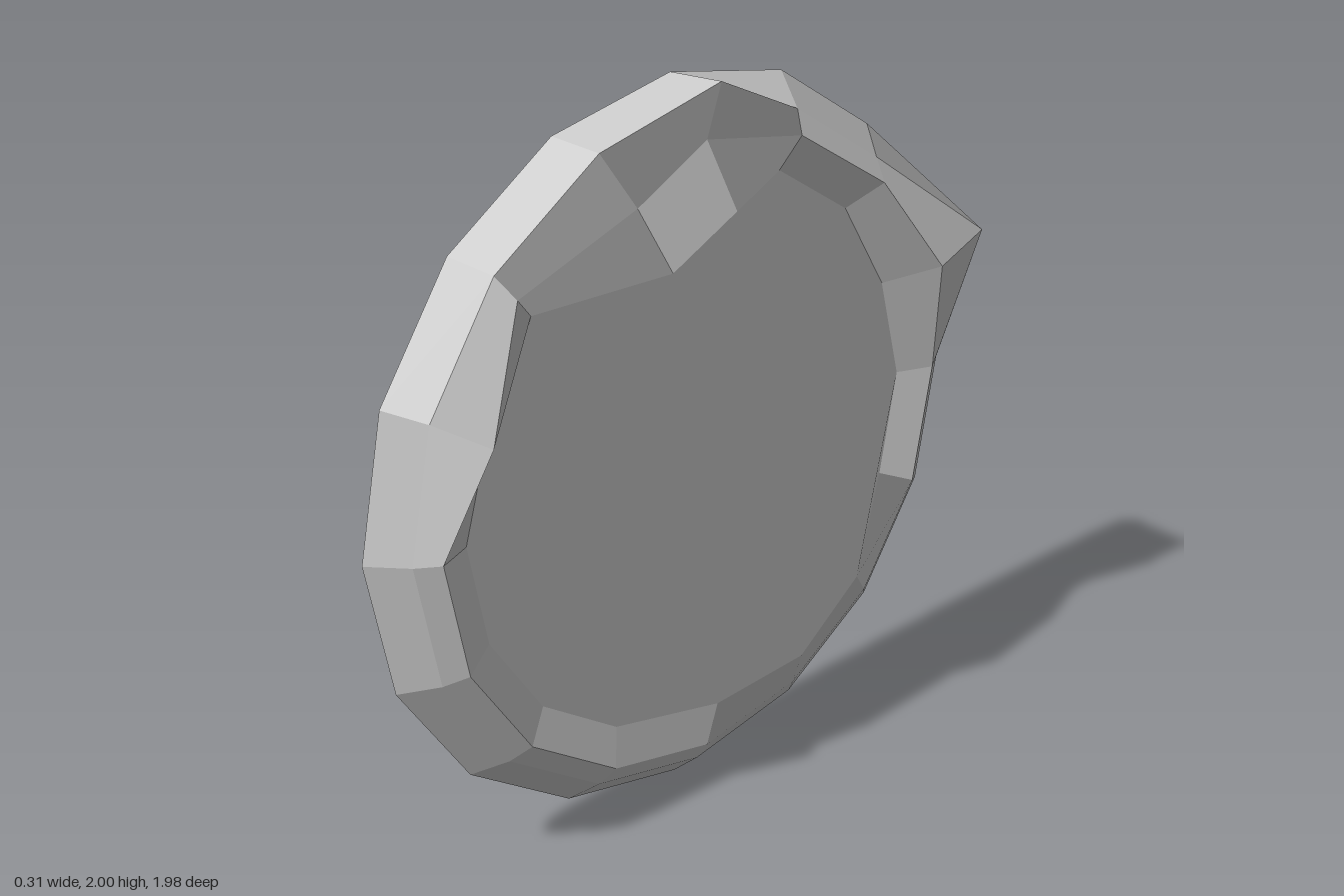
import * as THREE from 'three';

const N = 16;
const CENTRE_Y = 0.993;

// regular rings of the dented lid, back to front: [x, radius]
const PROFILE = [[-0.16, 0.96], [-0.13, 0.99], [-0.04, 0.91], [0, 0.85], [-0.04, 0.75]];

// dents: per ring, corner number -> [x, radius]
const DENTS = {
  2: { 2: [0.04, 0.99], 3: [0.04, 0.99], 4: [0.05, 1.007], 7: [0.07, 1.028] },
  3: { 1: [0.13, 0.855], 3: [0.11, 0.85], 6: [0.03, 0.85], 7: [0.07, 0.86] },
  4: {
    1: [-0.04, 0.725], 3: [0.155, 0.67], 4: [0.105, 0.695], 7: [-0.04, 0.735],
    10: [0.07, 0.7], 11: [0.085, 0.7], 12: [0.04, 0.705],
  },
};

// corner i runs from +z up towards +y
function corner(ring, i) {
  const k = (i + N) % N;
  const [x, r] = DENTS[ring]?.[k] ?? PROFILE[ring];
  const a = (k / N) * Math.PI * 2;
  return new THREE.Vector3(x, CENTRE_Y + r * Math.sin(a), r * Math.cos(a));
}

// each facet is { triangles, normal }: one flat shade even where it is slightly bent
function makeMesh(name, facets, material) {
  const positions = [], normals = [];
  for (const { triangles, normal } of facets) {
    for (const p of triangles.flat()) {
      positions.push(p.x, p.y, p.z);
      normals.push(normal.x, normal.y, normal.z);
    }
  }
  const geometry = new THREE.BufferGeometry();
  geometry.setAttribute('position', new THREE.Float32BufferAttribute(positions, 3));
  geometry.setAttribute('normal', new THREE.Float32BufferAttribute(normals, 3));
  const mesh = new THREE.Mesh(geometry, material);
  mesh.name = name;
  return mesh;
}

// faceted bands between consecutive rings
function bands(from, to) {
  const facets = [];
  for (let ring = from; ring < to; ring++) {
    for (let i = 0; i < N; i++) {
      const a = corner(ring, i), b = corner(ring, i + 1);
      const c = corner(ring + 1, i + 1), d = corner(ring + 1, i);
      const normal = c.clone().sub(a).cross(b.clone().sub(d)).normalize();
      facets.push({ triangles: [[a, d, c], [a, c, b]], normal });
    }
  }
  return facets;
}

export function createModel() {
  const group = new THREE.Group();
  group.name = 'dentedLid';
  const material = new THREE.MeshStandardMaterial({ color: 0xcccccc, side: THREE.DoubleSide });

  // open-backed shell: outer skirt and the slope into the panel
  group.add(makeMesh('outerRim', bands(0, 3), material));
  group.add(makeMesh('innerRim', bands(3, 4), material));

  // bent panel: three corner flaps plus a fan from corner 7
  const triangles = [];
  const addFace = (...ids) => triangles.push(ids.map((i) => corner(4, i)));
  for (const i of [1, 8, 11]) addFace(i, i + 2, i + 1);
  const fan = [8, 10, 11, 13, 14, 15, 0, 1, 3, 4, 5, 6];
  for (let i = 0; i < fan.length - 1; i++) addFace(7, fan[i + 1], fan[i]);
  group.add(makeMesh('panel', [{ triangles, normal: new THREE.Vector3(1, 0, 0) }], material));

  return group;
}
